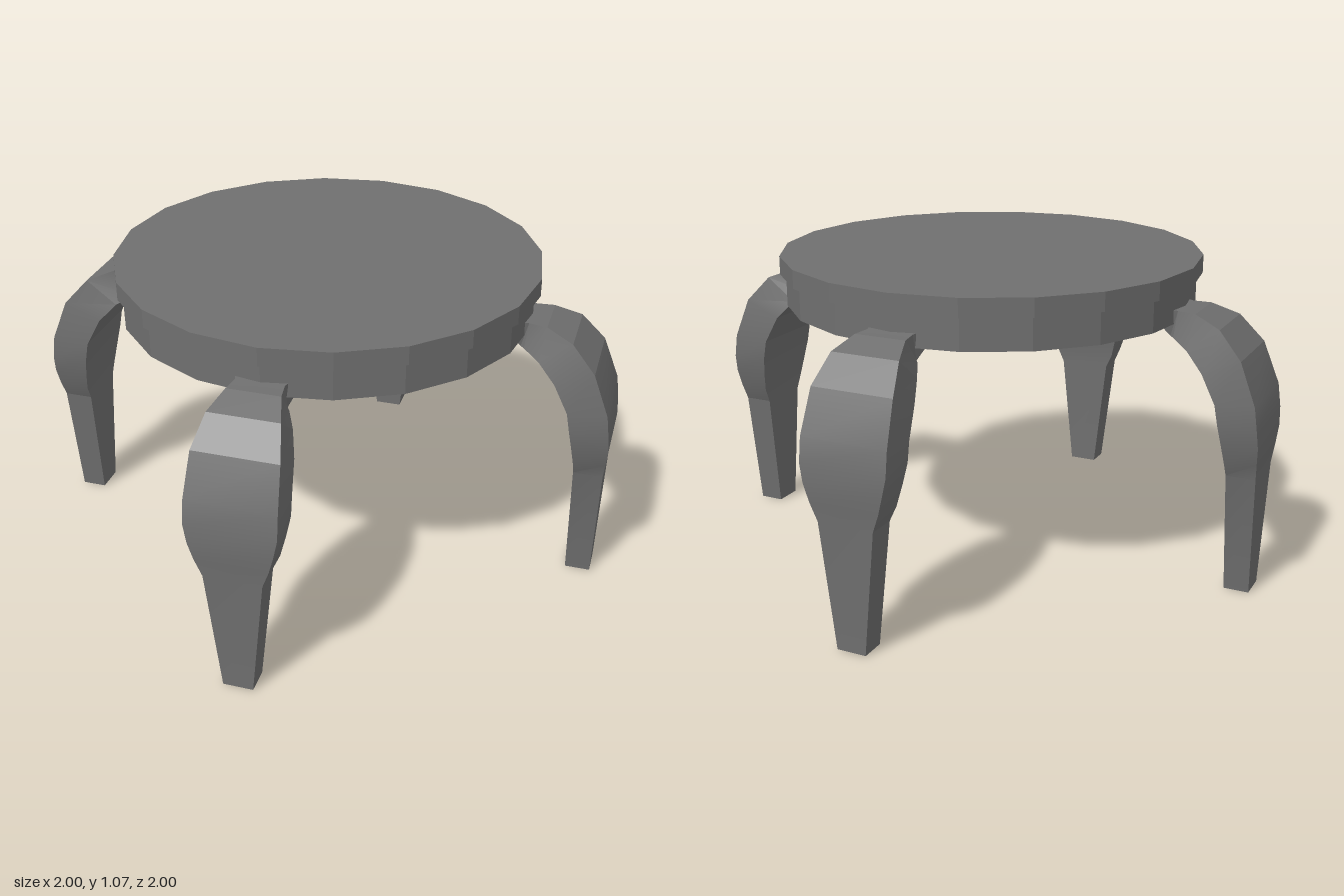
import * as THREE from 'three';
import { toCreasedNormals } from 'three/addons/utils/BufferGeometryUtils.js';

const material = new THREE.MeshStandardMaterial({ color: 0x6f6f6f });
const CREASE = 0.26; // keeps the disc facets flat and the gentle knee smooth

// Round slab with 20 flat sides, between two heights
function disc(name, radius, bottom, top) {
  const geometry = new THREE.CylinderGeometry(radius, radius, top - bottom, 20);
  const mesh = new THREE.Mesh(toCreasedNormals(geometry, CREASE), material);
  mesh.position.y = (bottom + top) / 2;
  mesh.name = name;
  return mesh;
}

// Leg cross-sections from foot to tip:
// [outer radius, outer height, inner radius, inner height, half width]
const sections = [
  [0.978, 0, 0.893, 0, 0.05],
  [0.989, 0.42, 0.89, 0.42, 0.095],
  [0.995, 0.48, 0.888, 0.47, 0.118],
  [1.0, 0.54, 0.878, 0.54, 0.135],
  [0.996, 0.6, 0.867, 0.605, 0.147],
  [0.985, 0.68, 0.855, 0.67, 0.147],
  [0.93, 0.82, 0.805, 0.765, 0.139],
  [0.85, 0.908, 0.745, 0.828, 0.116],
  [0.76, 0.943, 0.69, 0.857, 0.087],
  [0.70, 0.945, 0.678, 0.86, 0.078],
  [0.655, 0.95, 0.65, 0.895, 0.095],
];

// Four-sided loft through the sections, closed at both ends
function legGeometry() {
  const positions = [];
  const index = [];
  for (const [ro, yo, ri, yi, h] of sections) {
    positions.push(ro, yo, h, ro, yo, -h, ri, yi, -h, ri, yi, h);
  }
  for (let i = 0; i < sections.length - 1; i++) {
    for (let j = 0; j < 4; j++) {
      const a = i * 4 + j;
      const b = i * 4 + (j + 1) % 4;
      index.push(a, b, b + 4, a, b + 4, a + 4);
    }
  }
  const t = (sections.length - 1) * 4;
  index.push(0, 2, 1, 0, 3, 2, t, t + 1, t + 2, t, t + 2, t + 3);
  const geometry = new THREE.BufferGeometry();
  geometry.setAttribute('position', new THREE.Float32BufferAttribute(positions, 3));
  geometry.setIndex(index);
  return toCreasedNormals(geometry, CREASE);
}

export function createModel() {
  const table = new THREE.Group();
  table.name = 'roundTable';

  // Top and the slightly narrower apron under it
  table.add(disc('tableTop', 0.72, 1.008, 1.07));
  table.add(disc('apron', 0.70, 0.90, 1.008));

  // Four curved legs, a quarter turn apart
  const geometry = legGeometry();
  ['leftLeg', 'backLeg', 'rightLeg', 'frontLeg'].forEach((name, i) => {
    const leg = new THREE.Mesh(geometry, material);
    leg.name = name;
    leg.rotation.y = i * Math.PI / 2;
    table.add(leg);
  });

  return table;
}
